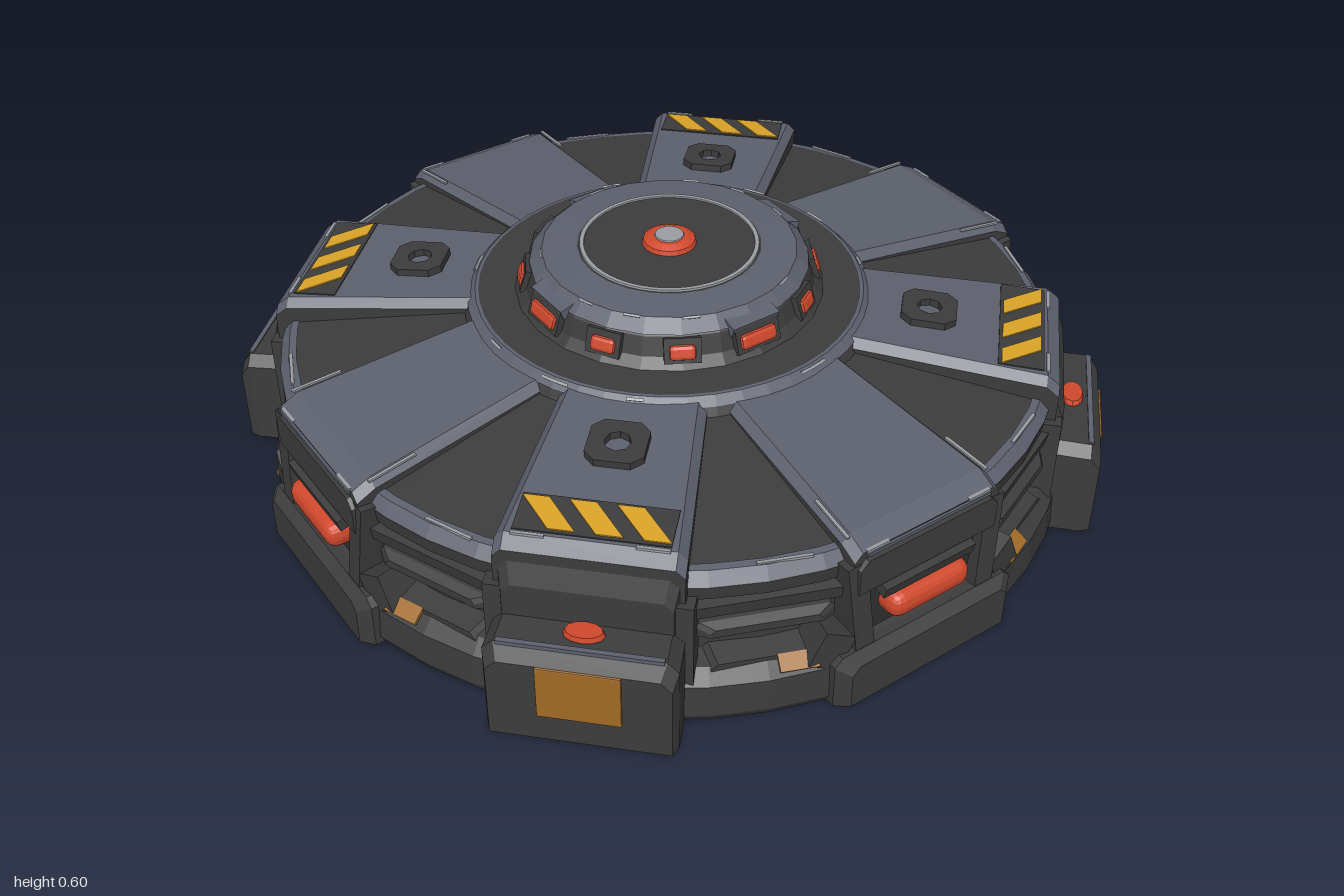
import * as THREE from 'three';
import { RoundedBoxGeometry } from 'three/addons/geometries/RoundedBoxGeometry.js';

const mat = (name, color) => Object.assign(new THREE.MeshStandardMaterial({ color }), { name });

export function createModel() {
  const dark = mat('charcoal', 0x3c3c3d), black = mat('deep grey', 0x303031);
  const slate = mat('slate', 0x5d616e), wear = mat('worn metal', 0x9a9da1);
  const red = mat('lamp red', 0xd0482c), amber = mat('dull amber', 0xa06a26), yellow = mat('hazard yellow', 0xdca428);

  const root = new THREE.Group();
  root.name = 'discBase';

  const flat = (geo) => {
    const g = geo.index ? geo.toNonIndexed() : geo;
    g.computeVertexNormals();
    return g;
  };
  const add = (parent, name, geo, material, x = 0, y = 0, z = 0, rx = 0, ry = 0, rz = 0) => {
    const m = new THREE.Mesh(flat(geo), material);
    m.name = name;
    m.position.set(x, y, z);
    m.rotation.set(rx, ry, rz);
    parent.add(m);
    return m;
  };
  const box = (w, h, d) => new THREE.BoxGeometry(w, h, d);
  const lathe = (name, pts, material, sides = 48) =>
    add(root, name, new THREE.LatheGeometry(pts.map(([r, y]) => new THREE.Vector2(r, y)), sides), material);
  // group whose +z points outward at angle a
  const sector = (name, a) => {
    const g = new THREE.Group();
    g.name = name;
    g.rotation.y = a;
    root.add(g);
    return g;
  };

  // chamfered beam along z; sections are [z, halfWidth, top, bottom]; group 0 is the top, group 1 the rest
  const beam = (sections, c = 0.02) => {
    const rings = sections.map(([z, w, t, b]) => [
      [-w, b, z], [-w, t - c, z], [-w + c, t, z], [w - c, t, z], [w, t - c, z], [w, b, z]]);
    const top = [], rest = [];
    const n = 6;
    for (let i = 0; i < rings.length - 1; i++) {
      for (let j = 0; j < n; j++) {
        const k = (j + 1) % n, p = rings[i], q = rings[i + 1];
        (j >= 1 && j <= 3 ? top : rest).push(p[j], q[j], q[k], p[j], q[k], p[k]);
      }
    }
    const s = rings[0], e = rings[rings.length - 1];
    for (let j = 1; j < n - 1; j++) rest.push(s[0], s[j], s[j + 1], e[0], e[j + 1], e[j]);
    const g = new THREE.BufferGeometry();
    g.setAttribute('position', new THREE.Float32BufferAttribute([...top, ...rest].flat(), 3));
    g.addGroup(0, top.length, 0);
    g.addGroup(top.length, rest.length, 1);
    return g;
  };

  // main disc body with recessed side channel
  lathe('body', [[0, 0], [0.975, 0], [0.985, 0.02], [0.98, 0.1], [0.95, 0.13], [0.9, 0.14], [0.9, 0.29],
    [0.935, 0.31], [0.94, 0.345], [0.915, 0.37], [0.48, 0.43], [0, 0.43]], dark);
  lathe('rimEdge', [[0.94, 0.348], [0.918, 0.373], [0.9, 0.375]], slate);

  // collar and central hub
  lathe('collar', [[0.5, 0.42], [0.485, 0.45], [0.465, 0.468], [0.36, 0.468]], dark);
  lathe('collarEdge', [[0.488, 0.45], [0.468, 0.469], [0.46, 0.4695]], slate);
  lathe('hub', [[0.375, 0.465], [0.35, 0.49], [0.335, 0.535], [0.31, 0.555], [0.3, 0.568]], dark, 24);
  lathe('hubShoulder', [[0.335, 0.54], [0.305, 0.568], [0.22, 0.575]], slate, 24);
  lathe('hubCap', [[0.222, 0.574], [0.21, 0.577], [0, 0.577]], dark);
  lathe('hubRing', [[0.215, 0.574], [0.214, 0.581], [0.204, 0.581], [0.203, 0.574]], wear);
  lathe('hubButton', [[0.066, 0.575], [0.062, 0.588], [0.045, 0.596], [0, 0.597]], red, 20);
  lathe('buttonCentre', [[0.036, 0.595], [0.034, 0.599], [0, 0.599]], wear, 16);
  for (let i = 0; i < 12; i++) {
    const g = sector('hubLight', i * Math.PI / 6);
    const main = i % 3 === 0;
    add(g, 'lightFrame', box(main ? 0.12 : 0.085, 0.06, 0.03), dark, 0, 0.505, 0.338, -0.3);
    add(g, 'light', new RoundedBoxGeometry(main ? 0.1 : 0.062, 0.038, 0.03, 1, 0.01), red, 0, 0.504, 0.347, -0.3);
    if (main) add(g, 'hubClamp', box(0.13, 0.025, 0.05), slate, 0, 0.54, 0.318, 0.3);
  }

  // wide arms at the four main directions
  for (let i = 0; i < 4; i++) {
    const g = sector('mainArm', i * Math.PI / 2);
    add(g, 'armPanel', beam([[0.44, 0.16, 0.455, 0.38], [0.9, 0.2, 0.407, 0.28], [0.945, 0.2, 0.385, 0.28]]), [slate, dark]);
    add(g, 'armNose', beam([[0.9, 0.2, 0.375, 0.27], [0.955, 0.19, 0.365, 0.28]]), [dark, dark]);
    add(g, 'noseEdge', box(0.34, 0.008, 0.008), slate, 0, 0.378, 0.947);
    add(g, 'lampHousing', box(0.36, 0.17, 0.06), black, 0, 0.2, 0.9);
    add(g, 'lampHood', box(0.25, 0.03, 0.06), dark, 0, 0.263, 0.935, 0.25);
    add(g, 'lamp', new RoundedBoxGeometry(0.22, 0.068, 0.09, 2, 0.03), red, 0, 0.207, 0.94);
    add(g, 'footPlate', beam([[0.9, 0.25, 0.13, 0], [0.965, 0.25, 0.13, 0], [0.99, 0.22, 0.11, 0]]), [dark, dark]);
    for (const s of [-1, 1]) {
      add(g, 'lampClamp', box(0.05, 0.23, 0.08), dark, s * 0.18, 0.24, 0.915, -0.08, 0, s * -0.1);
      add(g, 'footClamp', box(0.08, 0.09, 0.09), dark, s * 0.235, 0.145, 0.905, 0, s * 0.22, s * 0.45);
      add(g, 'edgeWear', box(0.008, 0.005, 0.12), wear, s * 0.186, 0.412, 0.85, 0.105, s * 0.087);
      add(g, 'noseWear', box(0.06, 0.006, 0.008), wear, s * 0.14, 0.385, 0.944);
    }
  }

  // diagonal arms with hazard stripes and outer anchor blocks
  for (let i = 0; i < 4; i++) {
    const g = sector('diagonalArm', Math.PI / 4 + i * Math.PI / 2);
    add(g, 'armPanel', beam([[0.44, 0.165, 0.46, 0.38], [0.905, 0.2, 0.43, 0.3], [0.935, 0.2, 0.405, 0.3]]), [slate, dark]);
    add(g, 'armSupport', beam([[0.75, 0.19, 0.39, 0], [0.93, 0.19, 0.39, 0], [0.955, 0.18, 0.33, 0]]), [dark, dark]);
    add(g, 'anchorBlock', beam([[0.88, 0.2, 0.25, 0], [1.03, 0.205, 0.245, 0], [1.055, 0.195, 0.21, 0]], 0.025), [dark, dark]);
    add(g, 'anchorRidge', box(0.35, 0.012, 0.012), slate, 0, 0.243, 1.028);
    add(g, 'anchorPlate', new RoundedBoxGeometry(0.18, 0.14, 0.008, 1, 0.003), amber, 0, 0.14, 1.056);
    const lamp = add(g, 'anchorLight', new THREE.CylinderGeometry(0.04, 0.045, 0.012, 12), red, 0, 0.255, 0.985);
    lamp.scale.z = 0.6;

    // plates that lie on the sloping panel
    const slope = new THREE.Group();
    slope.name = 'panelDetails';
    slope.position.set(0, 0.46, 0.44);
    slope.rotation.x = 0.0645;
    g.add(slope);
    add(slope, 'stripeBand', box(0.33, 0.004, 0.105), dark, 0, 0.001, 0.405);
    for (const x of [-0.1, 0, 0.1]) {
      const s = new THREE.Shape([[-0.065, 0.045], [-0.008, 0.045], [0.065, -0.045], [0.008, -0.045]]
        .map(([a, b]) => new THREE.Vector2(a, b)));
      add(slope, 'hazardStripe', new THREE.ExtrudeGeometry(s, { depth: 0.004, bevelEnabled: false }),
        yellow, x, 0.002, 0.405, -Math.PI / 2);
    }
    // square socket with an open centre
    const sq = new THREE.Shape([[-0.065, -0.04], [-0.04, -0.065], [0.04, -0.065], [0.065, -0.04],
      [0.065, 0.04], [0.04, 0.065], [-0.04, 0.065], [-0.065, 0.04]].map(([a, b]) => new THREE.Vector2(a, b)));
    sq.holes.push(new THREE.Path().absarc(0, 0, 0.03, 0, Math.PI * 2, true));
    add(slope, 'socket', new THREE.ExtrudeGeometry(sq, { depth: 0.018, bevelEnabled: false, curveSegments: 4 }),
      dark, 0, 0, 0.185, -Math.PI / 2);
    for (const s of [-1, 1]) {
      add(g, 'edgeWear', box(0.07, 0.006, 0.008), wear, s * 0.13, 0.43, 0.906);
      add(g, 'supportRib', box(0.05, 0.3, 0.06), dark, s * 0.195, 0.17, 0.92);
    }
  }

  // side bays between the arms
  for (let i = 0; i < 8; i++) {
    const g = sector('sideBay', Math.PI / 8 + i * Math.PI / 4);
    add(g, 'upperRail', box(0.33, 0.035, 0.06), dark, 0, 0.285, 0.905, 0.2);
    add(g, 'lowerRail', beam([[0.86, 0.16, 0.25, 0.2], [0.925, 0.15, 0.245, 0.21], [0.945, 0.12, 0.235, 0.215]], 0.01), [dark, dark]);
    add(g, 'ledge', beam([[0.88, 0.13, 0.155, 0.1], [0.95, 0.12, 0.14, 0.1]], 0.015), [dark, dark]);
    add(g, 'rimWear', box(0.12, 0.006, 0.008), wear, 0.04, 0.374, 0.912);
    const toMain = i % 2 === 0 ? -1 : 1;
    add(g, 'ledgeMarker', box(0.085, 0.008, 0.04), amber, toMain * 0.065, 0.128, 0.962, 0.6);
  }

  // worn patches around collar and hub edge
  for (let i = 0; i < 9; i++) {
    const a = i * 0.7 + 0.3 * Math.sin(i * 5);
    const arc = new THREE.TorusGeometry(0.476, 0.005, 4, 6, 0.12 + 0.05 * Math.sin(i * 3));
    add(root, 'collarWear', arc, wear, 0, 0.464, 0, -Math.PI / 2, 0, a);
    const hubArc = new THREE.TorusGeometry(0.306, 0.004, 4, 4, 0.13);
    add(root, 'hubWear', hubArc, wear, 0, 0.567, 0, -Math.PI / 2, 0, a + 0.3);
  }
  return root;
}
